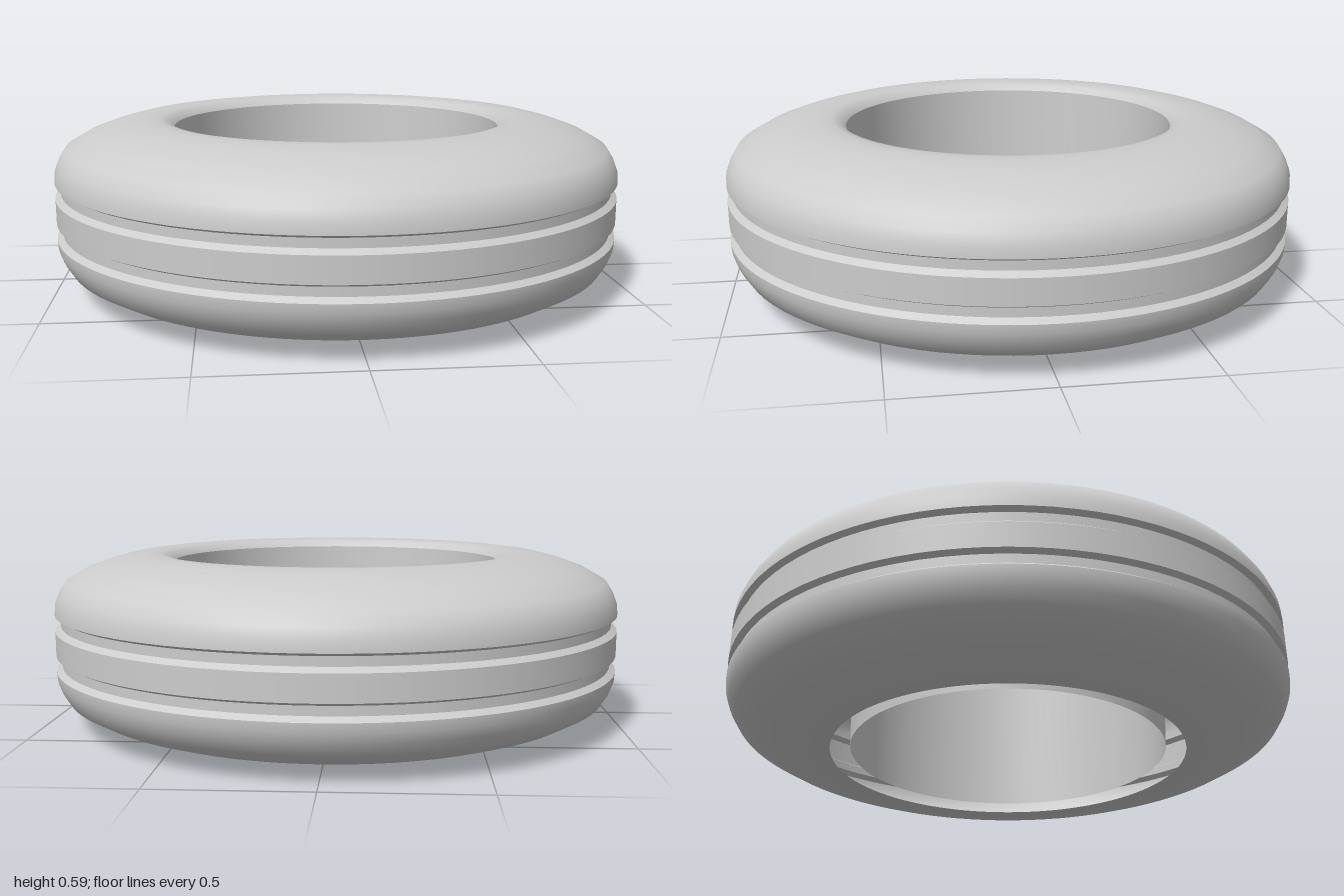
import * as THREE from 'three';

export function createModel() {
  const model = new THREE.Group();
  model.name = 'tyre';

  const rubber = new THREE.MeshStandardMaterial({ color: 0xcccccc, side: THREE.DoubleSide });
  rubber.name = 'light grey rubber';

  // Each band is a smooth ring; separate bands keep the edges between them sharp.
  function ring(name, profile, parent = model) {
    const points = profile.map(([r, y]) => new THREE.Vector2(r, y));
    const mesh = new THREE.Mesh(new THREE.LatheGeometry(points, 96), rubber);
    mesh.name = name;
    parent.add(mesh);
  }

  // Lower sidewall, open at its inner lip to the hollow inside
  ring('lowerSidewall', [
    [0.63, 0.005], [0.68, 0.003], [0.75, 0.012], [0.82, 0.03], [0.89, 0.055],
    [0.96, 0.095], [0.985, 0.135], [0.998, 0.17], [1, 0.2],
  ]);

  // Two tread grooves with sloped walls and a flat floor
  const grooves = [[0.2, 0.255], [0.34, 0.395]];
  grooves.forEach(([low, high], i) => {
    const groove = new THREE.Group();
    groove.name = `treadGroove${i + 1}`;
    model.add(groove);
    ring('grooveLowerWall', [[1, low], [0.98, low + 0.015]], groove);
    ring('grooveFloor', [[0.98, low + 0.015], [0.98, high - 0.01]], groove);
    ring('grooveUpperWall', [[0.98, high - 0.01], [1, high]], groove);
  });

  // Raised band between the grooves
  ring('centreTread', [[1, 0.255], [1, 0.34]]);

  // Upper sidewall, rounding over into the hole
  ring('upperSidewall', [
    [1, 0.395], [0.998, 0.43], [0.985, 0.465], [0.96, 0.505], [0.89, 0.545],
    [0.82, 0.57], [0.75, 0.588], [0.68, 0.597], [0.63, 0.595], [0.6, 0.588], [0.58, 0.567],
  ]);

  // Slightly tapered wall of the hole, stopping short of the lower lip
  ring('innerWall', [[0.58, 0.567], [0.56, 0.02]]);

  return model;
}
